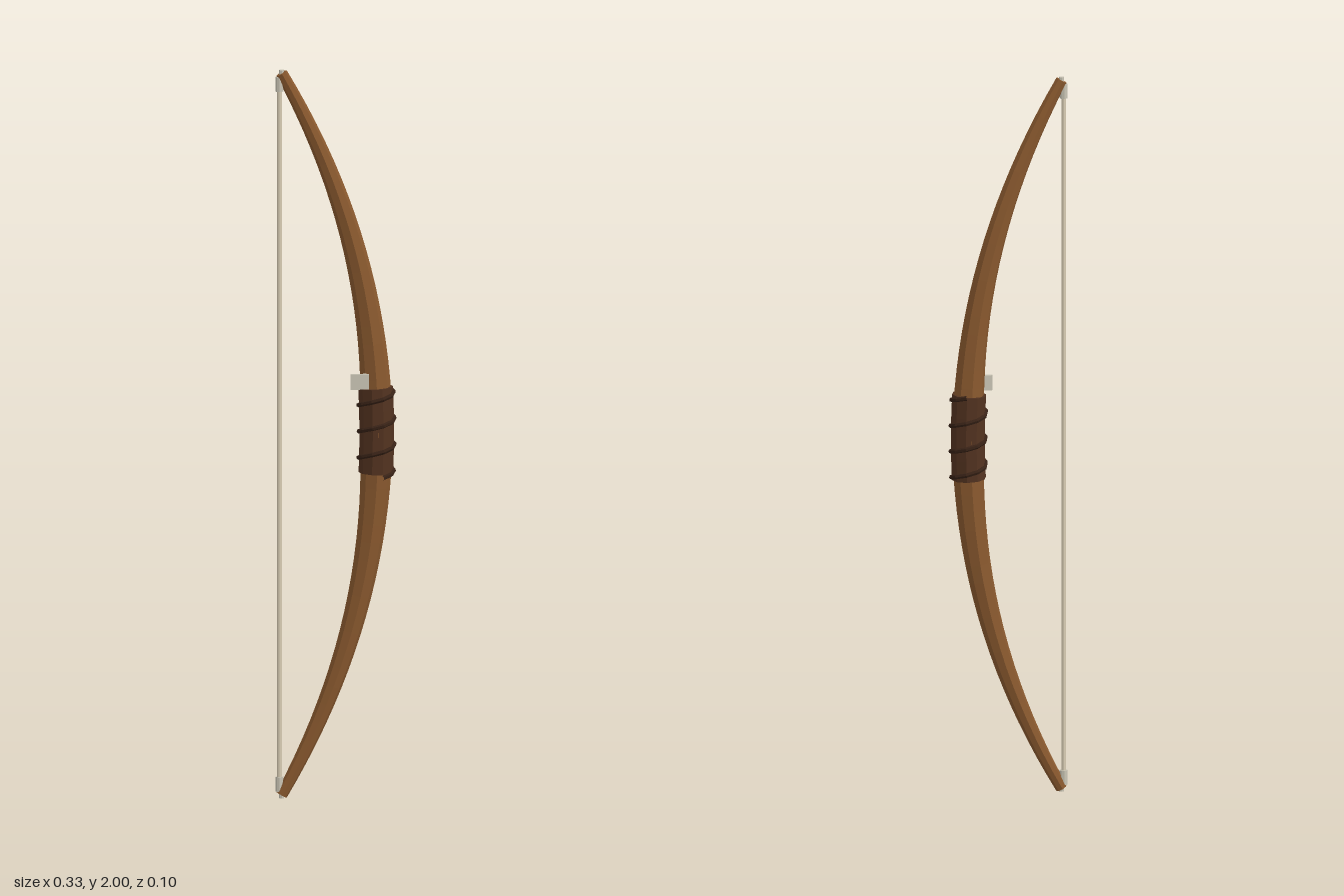
import * as THREE from 'three';

// Centre line of the bow: x at height y
const bend = (y) => 0.11 - 0.258 * Math.pow(Math.abs(y - 1) / 0.99, 2.15);

// Faceted sweep along the centre line with a radius that depends on height
function sweep(y0, y1, rows, radiusAt, sides) {
  const pos = [], idx = [];
  for (let i = 0; i <= rows; i++) {
    const y = y0 + ((y1 - y0) * i) / rows;
    const slope = (bend(y + 0.002) - bend(y - 0.002)) / 0.004;
    const len = Math.hypot(1, slope);
    const r = radiusAt(y);
    for (let j = 0; j < sides; j++) {
      const a = (j / sides) * Math.PI * 2;
      const u = Math.cos(a) * r;
      pos.push(bend(y) + u / len, y - (u * slope) / len, Math.sin(a) * r);
    }
  }
  for (let i = 0; i < rows; i++) {
    for (let j = 0; j < sides; j++) {
      const a = i * sides + j, b = i * sides + ((j + 1) % sides);
      idx.push(a, a + sides, b, b, a + sides, b + sides);
    }
  }
  // End caps
  const top = rows * sides;
  for (let j = 1; j < sides - 1; j++) {
    idx.push(0, j, j + 1, top, top + j + 1, top + j);
  }
  const g = new THREE.BufferGeometry();
  g.setAttribute('position', new THREE.Float32BufferAttribute(pos, 3));
  g.setIndex(idx);
  const flat = g.toNonIndexed();
  flat.computeVertexNormals();
  return flat;
}

export function createModel() {
  const group = new THREE.Group();
  const mat = (name, color) => {
    const m = new THREE.MeshStandardMaterial({ color, flatShading: true });
    m.name = name;
    return m;
  };
  const wood = mat('wood', 0x8b5a2f);
  const leather = mat('leather', 0x533320);
  const cord = mat('darkCord', 0x382216);
  const string = mat('bowstring', 0xd9cdb4);
  const bone = mat('bone', 0xcbc6b6);

  const add = (name, geometry, material, x = 0, y = 0, z = 0) => {
    const m = new THREE.Mesh(geometry, material);
    m.name = name;
    m.position.set(x, y, z);
    group.add(m);
  };

  // Tapered wooden stave
  add('stave', sweep(0.01, 1.99, 40, (y) => 0.045 - 0.029 * (Math.abs(y - 1) / 0.99), 8), wood);

  // Leather grip and the cord wound round it, ten straight steps to a turn
  add('grip', sweep(0.89, 1.125, 4, () => 0.047, 10), leather);
  const points = [];
  const steps = 34;
  for (let i = 0; i <= steps; i++) {
    const a = ((i + 0.5) / 10) * Math.PI * 2;
    const y = 0.882 + i * 0.0072;
    points.push(new THREE.Vector3(bend(y) + Math.sin(a) * 0.048, y, Math.cos(a) * 0.048));
  }
  add('gripCord', new THREE.TubeGeometry(new THREE.CatmullRomCurve3(points), steps, 0.0065, 6), cord);

  // Arrow rest on the front of the stave
  add('arrowRest', new THREE.BoxGeometry(0.05, 0.042, 0.01), bone, 0.061, 1.146, 0.034);

  // String with a nock sleeve and an end pin at each tip
  add('string', new THREE.CylinderGeometry(0.0065, 0.0065, 1.95, 8), string, -0.154, 1, 0);
  for (const s of [1, -1]) {
    add('nockSleeve', new THREE.CylinderGeometry(0.011, 0.011, 0.04, 8), bone, -0.154, 1 + s * 0.96, 0);
    add('nockPin', new THREE.CylinderGeometry(0.007, 0.007, 0.03, 8), bone, -0.148, 1 + s * 0.984, 0);
  }
  return group;
}
